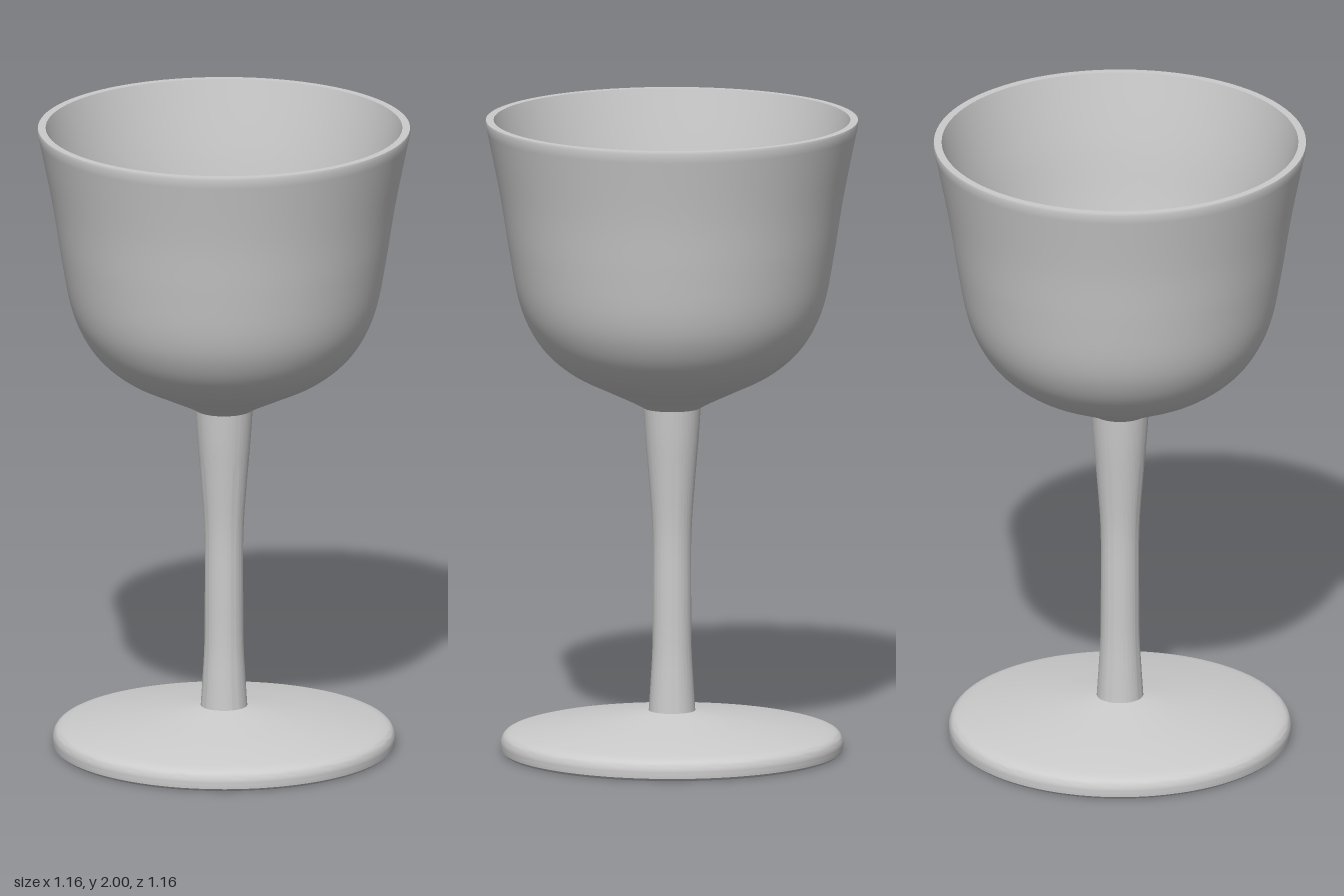
import * as THREE from 'three';
import { toCreasedNormals } from 'three/addons/utils/BufferGeometryUtils.js';

const SEGMENTS = 96;
const material = new THREE.MeshStandardMaterial({ color: 0xcccccc, side: THREE.DoubleSide });

const toPoints = (list) => list.map(([r, y]) => new THREE.Vector2(r, y));

// Smooth curve through a few [radius, height] pairs
const curve = (list, steps) => new THREE.SplineCurve(toPoints(list)).getPoints(steps);

// Turn a profile around the y axis, keeping hard edges crisp
function turned(name, profile) {
  const geometry = toCreasedNormals(new THREE.LatheGeometry(profile, SEGMENTS), 0.6);
  const mesh = new THREE.Mesh(geometry, material);
  mesh.name = name;
  return mesh;
}

export function createModel() {
  const goblet = new THREE.Group();
  goblet.name = 'goblet';

  // Foot: flat underside, rounded edge, shallow cone up to the stem
  goblet.add(turned('foot', [
    ...toPoints([[0, 0], [0.525, 0]]),
    ...curve([[0.533, 0.008], [0.533, 0.035], [0.52, 0.058], [0.485, 0.07]], 12),
    ...toPoints([[0.28, 0.1], [0.07, 0.132]]),
  ]));

  // Stem: slim in the middle, flared at both ends
  goblet.add(turned('stem', curve([
    [0.073, 0.128], [0.067, 0.22], [0.061, 0.34], [0.06, 0.52],
    [0.061, 0.7], [0.073, 0.87], [0.083, 0.99], [0.09, 1.095],
  ], 32)));

  // Bowl: outer wall up, flat rim, inner wall down to a tiny pit at the centre
  const outer = curve([
    [0.085, 1.087], [0.12, 1.107], [0.21, 1.15], [0.31, 1.2], [0.39, 1.265],
    [0.445, 1.345], [0.48, 1.44], [0.508, 1.59], [0.537, 1.77], [0.582, 1.992],
  ], 48);
  const inner = curve([
    [0.556, 2], [0.51, 1.78], [0.481, 1.6], [0.454, 1.46],
    [0.42, 1.36], [0.37, 1.285], [0.29, 1.225], [0.15, 1.16], [0.012, 1.1],
  ], 48);
  goblet.add(turned('bowl', [
    ...outer,
    ...toPoints([[0.58, 2]]),
    ...inner,
    ...toPoints([[0.012, 1.04], [0, 1.04]]),
  ]));

  return goblet;
}
